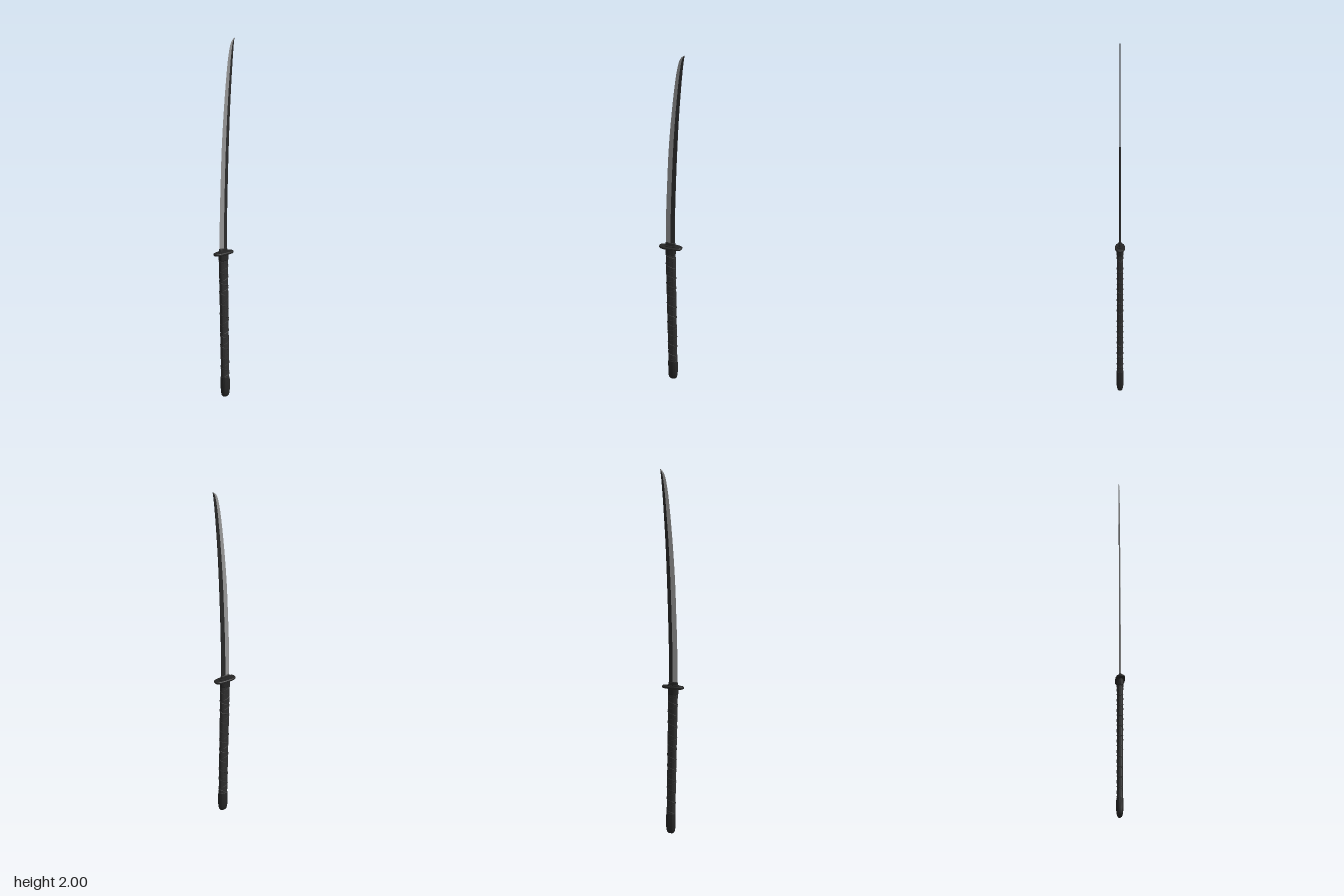
import * as THREE from 'three';
import { toCreasedNormals } from 'three/addons/utils/BufferGeometryUtils.js';

const mat = (name, color) => {
  const m = new THREE.MeshStandardMaterial({ color });
  m.name = name;
  return m;
};

// Surface through rows of points; rows go upwards, points run from +x towards +z
function skin(rows, crease = 0.6) {
  const n = rows[0].length, index = [];
  for (let j = 0; j < rows.length - 1; j++) {
    for (let i = 0; i < n - 1; i++) {
      const a = j * n + i, b = a + 1, c = a + n, d = c + 1;
      index.push(a, c, b, b, c, d);
    }
  }
  const g = new THREE.BufferGeometry();
  g.setAttribute('position', new THREE.Float32BufferAttribute(rows.flat(2), 3));
  g.setIndex(index);
  return toCreasedNormals(g, crease);
}

// Point on a rounded oval (power below 1 makes it squarer)
function ovalPoint(a, y, rx, rz, cz, power) {
  const f = v => Math.sign(v) * Math.abs(v) ** power;
  return [rx * f(Math.cos(a)), y, cz + rz * f(Math.sin(a))];
}

// Solid from stacked ovals: [y, half width, half depth, centre z]
function ovalLoft(sections, power = 0.8, sides = 28) {
  return skin(sections.map(([y, rx, rz, cz]) =>
    Array.from({ length: sides + 1 }, (_, i) =>
      ovalPoint((i % sides) / sides * Math.PI * 2, y, rx, rz, cz, power))));
}

// Grip leans gently: centre z and half depth at a height
const gripZ = y => THREE.MathUtils.lerp(-0.006, 0.009, y / 0.8);
const gripDepth = y => THREE.MathUtils.lerp(0.023, 0.027, y / 0.8);

export function createModel() {
  const group = new THREE.Group();
  const steel = mat('polished steel', 0x9a9a9a);
  const darkSteel = mat('dark steel', 0x2b2b2b);
  const wrap = mat('grip wrap', 0x303030);
  const iron = mat('black iron', 0x272727);
  const add = (name, geometry, material) => {
    const mesh = new THREE.Mesh(geometry, material);
    mesh.name = name;
    group.add(mesh);
  };

  // Blade outline: height, cutting edge z, spine z
  const outline = [
    [0.81, 0.035, -0.014], [1.0, 0.034, -0.015], [1.2, 0.028, -0.02],
    [1.4, 0.02, -0.027], [1.6, 0.006, -0.036], [1.8, -0.013, -0.049],
    [1.9, -0.026, -0.057], [1.96, -0.039, -0.063], [1.985, -0.051, -0.066],
    [2.0, -0.068, -0.069],
  ];
  const curve = k => new THREE.CatmullRomCurve3(
    outline.map(p => new THREE.Vector3(0, p[0], p[k])));
  const edge = curve(1), spine = curve(2);
  const bevelRows = [], bodyRows = [];
  for (let j = 0; j <= 48; j++) {
    const e = edge.getPoint(j / 48), s = spine.getPoint(j / 48);
    const y = e.y, t = THREE.MathUtils.lerp(0.005, 0.002, j / 48);
    const ridge = THREE.MathUtils.lerp(s.z, e.z, 0.45);
    bevelRows.push([[t, y, ridge], [0, y, e.z], [-t, y, ridge]]);
    bodyRows.push([[-t, y, ridge], [-t * 0.7, y, s.z], [0, y, s.z - 0.001],
      [t * 0.7, y, s.z], [t, y, ridge]]);
  }
  add('bladeBevel', skin(bevelRows, 0.3), steel);
  add('bladeBody', skin(bodyRows, 0.3), darkSteel);

  // Collar at the root of the blade
  add('bladeCollar', ovalLoft([
    [0.805, 0.009, 0.028, 0.01], [0.832, 0.008, 0.027, 0.01],
    [0.836, 0.0005, 0.02, 0.01]]), iron);

  // Oval guard with softened rim, and a washer on each face
  add('guard', ovalLoft([
    [0.799, 0.001, 0.002, 0.008], [0.799, 0.023, 0.06, 0.008],
    [0.802, 0.026, 0.063, 0.008], [0.809, 0.026, 0.063, 0.008],
    [0.812, 0.023, 0.06, 0.008], [0.812, 0.001, 0.002, 0.008]], 0.72), iron);
  add('guardWasher', ovalLoft([
    [0.795, 0.016, 0.034, 0.009], [0.817, 0.016, 0.034, 0.009],
    [0.817, 0.001, 0.002, 0.009]]), iron);

  // Grip with a collar at the top
  const gripRows = [];
  for (let j = 0; j <= 10; j++) {
    const y = 0.09 + j * 0.071;
    gripRows.push([y, 0.016, gripDepth(y), gripZ(y)]);
  }
  add('grip', ovalLoft(gripRows), wrap);
  add('gripCollar', ovalLoft([0.765, 0.768, 0.8].map((y, i) =>
    [y, i ? 0.0185 : 0.016, gripDepth(y) + (i ? 0.002 : 0), gripZ(y)])), iron);

  // Two crossing cords wound around the grip
  for (const turn of [1, -1]) {
    const points = [];
    for (let i = 0; i <= 264; i++) {
      const y = 0.105 + 0.66 * i / 264;
      const a = turn * i / 24 * Math.PI * 2 + Math.PI / 2;
      points.push(new THREE.Vector3(
        ...ovalPoint(a, y, 0.0158, gripDepth(y), gripZ(y), 0.8)));
    }
    add(turn > 0 ? 'gripCordRight' : 'gripCordLeft', new THREE.TubeGeometry(
      new THREE.CatmullRomCurve3(points), 264, 0.0022, 5), wrap);
  }

  // Rounded pommel cap
  add('pommel', ovalLoft([
    [0, 0.0005, 0.001, -0.005], [0.001, 0.008, 0.014, -0.005],
    [0.007, 0.013, 0.02, -0.005], [0.02, 0.017, 0.0235, -0.005],
    [0.045, 0.0195, 0.0255, -0.005], [0.085, 0.02, 0.026, -0.005],
    [0.108, 0.0185, 0.025, -0.004], [0.11, 0.015, 0.022, -0.004]]), iron);

  return group;
}
